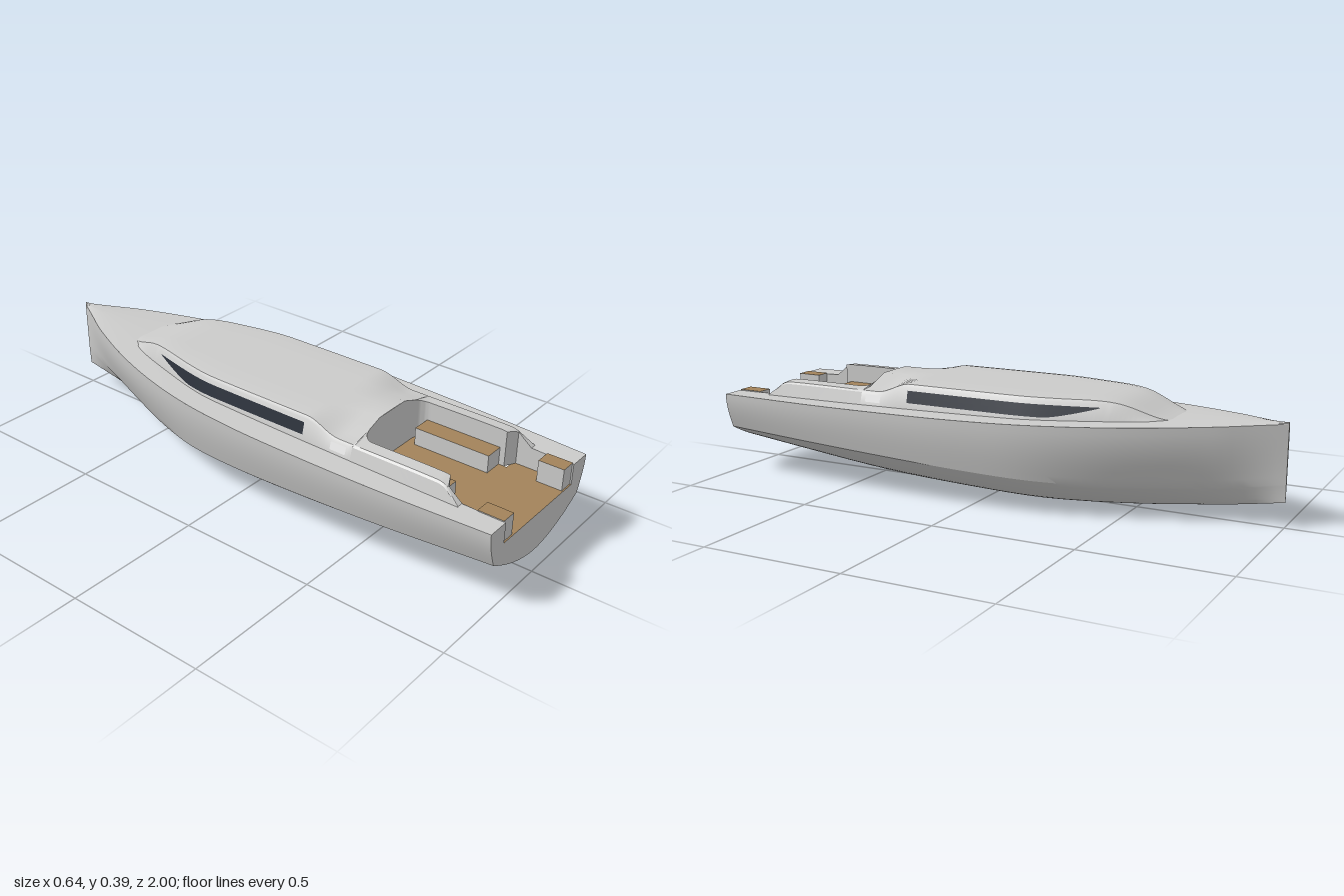
import * as THREE from 'three';
import { toCreasedNormals } from 'three/addons/utils/BufferGeometryUtils.js';

// Smooth curve through [z, value] pairs
function curve(p) {
  const slope = i => {
    const a = p[Math.max(i - 1, 0)], b = p[Math.min(i + 1, p.length - 1)];
    return (b[1] - a[1]) / (b[0] - a[0]);
  };
  return z => {
    let i = 0;
    while (i < p.length - 2 && z > p[i + 1][0]) i++;
    const d = p[i + 1][0] - p[i][0], t = THREE.MathUtils.clamp((z - p[i][0]) / d, 0, 1);
    const t2 = t * t, t3 = t2 * t;
    return (2 * t3 - 3 * t2 + 1) * p[i][1] + (t3 - 2 * t2 + t) * d * slope(i)
      + (3 * t2 - 2 * t3) * p[i + 1][1] + (t3 - t2) * d * slope(i + 1);
  };
}

const range = (a, b, n) => Array.from({ length: n + 1 }, (_, i) => a + (b - a) * i / n);

// Skin over cross-sections that all have the same number of [x, y, z] points
function loft(sections, crease = 0.5) {
  const n = sections[0].length, idx = [];
  for (let i = 0; i < sections.length - 1; i++) {
    for (let j = 0; j < n - 1; j++) {
      const a = i * n + j, b = a + n;
      idx.push(a, b, a + 1, a + 1, b, b + 1);
    }
  }
  const g = new THREE.BufferGeometry();
  g.setAttribute('position', new THREE.Float32BufferAttribute(sections.flat(2), 3));
  g.setIndex(idx);
  return toCreasedNormals(g, crease);
}

// Full-width section from a half that runs from the +x edge to the centreline
const mirrored = half => [...half, ...half.slice(0, -1).reverse().map(([x, y, z]) => [-x, y, z])];

// Hull lines
const sheerX = curve([[-1, 0.004], [-0.9, 0.06], [-0.8, 0.115], [-0.6, 0.2], [-0.4, 0.262], [-0.2, 0.301],
  [0, 0.317], [0.2, 0.32], [0.6, 0.311], [1, 0.287]]);
const sheerY = curve([[-1, 0.338], [-0.5, 0.319], [0, 0.305], [0.5, 0.297], [1, 0.293]]);
const chineX = curve([[-1, 0.003], [-0.8, 0.062], [-0.6, 0.135], [-0.4, 0.208], [-0.2, 0.264], [0, 0.286],
  [0.3, 0.291], [0.6, 0.283], [1, 0.255]]);
const chineY = curve([[-1, 0.145], [-0.8, 0.122], [-0.4, 0.113], [0, 0.128], [0.5, 0.149], [1, 0.166]]);
const keelY = curve([[-1, 0.083], [-0.8, 0.05], [-0.5, 0.014], [-0.2, 0], [0, 0.003], [0.4, 0.02], [0.8, 0.06], [1, 0.084]]);
const fullness = curve([[-1, 1.1], [-0.6, 1.5], [-0.2, 2], [1, 1.8]]);

function hullSection(z) {
  const sx = sheerX(z), sy = sheerY(z), cx = chineX(z), cy = chineY(z), k = keelY(z);
  const side = range(1, 0, 8).map(t => [cx + (sx - cx) * Math.sin(t * Math.PI / 2), cy + (sy - cy) * t, z]);
  const bottom = range(1, 0, 12).slice(1).map(t => [cx * t, k + (cy - k) * t ** fullness(z), z]);
  return mirrored([...side, ...bottom]);
}

// Cabin lines
const FLOOR = 0.22, AFT = 0.45;
const cabinW = curve([[-0.655, 0.085], [-0.64, 0.108], [-0.6, 0.128], [-0.4, 0.182], [-0.2, 0.224], [-0.05, 0.23], [AFT, 0.23]]);
const roofY = curve([[-0.655, 0.326], [-0.6, 0.34], [-0.5, 0.375], [-0.43, 0.385], [-0.3, 0.386], [AFT, 0.386]]);
const baseY = z => sheerY(z) - 0.004;

function cabinHalf(z) {
  const w = cabinW(z), h = roofY(z), b = baseY(z), k = THREE.MathUtils.smoothstep(z, 0.26, 0.39);
  const fore = [[w, b], [w - 0.018, Math.max(h - 0.012, b)], [w - 0.026, h - 0.003], [w - 0.05, h], [w * 0.4, h], [0, h]];
  const aft = [[0.23, b], [0.215, 0.34], [0.208, 0.346], [0.165, 0.35], [0.07, 0.385], [0, 0.386]];
  return fore.map(([x, y], i) => [x + (aft[i][0] - x) * k, y + (aft[i][1] - y) * k, z]);
}

// Cockpit edge: rounded forward corners, wider at the stern
function innerX(z) {
  if (z < 0.49) return 0.125 + 0.04 * Math.sqrt(Math.max(0, 1 - ((0.49 - z) / 0.04) ** 2));
  return 0.165 + 0.04 * THREE.MathUtils.clamp((z - 0.78) / 0.02, 0, 1);
}
const coamingY = curve([[AFT, 0.35], [0.76, 0.35], [0.79, 0.344], [0.82, 0.32], [0.85, 0.296]]);
const aftRoofY = x => Math.min(0.385, 0.35 + Math.max(0, 0.165 - x) / 0.095 * 0.035);
const edgeY = z => z > 0.85 ? sheerY(z) : z < 0.49 ? aftRoofY(innerX(z)) : coamingY(z);

export function createModel() {
  const group = new THREE.Group();
  const mat = (name, color) => {
    const m = new THREE.MeshStandardMaterial({ color, side: THREE.DoubleSide });
    m.name = name;
    return m;
  };
  const shell = mat('light grey shell', 0xcbcbca);
  const teak = mat('teak', 0xa2835a);
  const glass = mat('dark glass', 0x2a303a);
  const white = mat('white', 0xfafafa);
  const add = (name, geo, material) => {
    const m = new THREE.Mesh(geo, material);
    m.name = name;
    group.add(m);
    return m;
  };

  // Hull skin, stem face and transom with its cockpit opening
  add('hull', loft(range(-1, 1, 64).map(hullSection)), shell);
  const cap = (name, z, extra) => {
    const pts = [...hullSection(z), ...extra].map(([x, y]) => new THREE.Vector2(x, y));
    add(name, new THREE.ShapeGeometry(new THREE.Shape(pts)).translate(0, 0, z), shell);
  };
  cap('stem', -1, []);
  cap('transom', 1, [[-0.205, 0.293], [-0.205, FLOOR], [0.205, FLOOR], [0.205, 0.293]]);

  // Foredeck with a slight crown, and side decks beside the cockpit
  add('foredeck', loft(range(-1, AFT, 44).map(z => range(1, -1, 12).map(u =>
    [sheerX(z) * u, sheerY(z) + 0.006 * (1 - u * u) * Math.min(1, AFT - z), z]))), shell);
  for (const s of [1, -1]) {
    add('sideDeck', loft(range(AFT, 1, 16).map(z => [[s * sheerX(z), sheerY(z), z], [s * 0.205, sheerY(z), z]])), shell);
  }

  // Cabin trunk
  add('cabin', loft([-0.655, -0.65, ...range(-0.64, AFT, 72)].map(z => mirrored(cabinHalf(z))), 0.6), shell);

  // Coamings along the cockpit
  const coamingZ = [...range(AFT, 0.49, 8), ...range(0.5, 0.76, 4), ...range(0.77, 0.85, 8)];
  for (const s of [1, -1]) {
    add('coaming', loft(coamingZ.map(z => {
      const h = coamingY(z), b = baseY(z), f = Math.max(0, (h - b) / (0.35 - b));
      return [[0.23, b], [0.23 - 0.015 * f, b + (h - b) * 0.82], [0.23 - 0.022 * f, h - 0.004 * f],
        [innerX(z), z < 0.49 ? edgeY(z) : h]].map(([x, y]) => [s * x, y, z]);
    })), shell);
  }

  // Cockpit walls running round from one side to the other
  const wallZ = [1, 0.9, ...coamingZ.slice().reverse()];
  const wall = [
    ...wallZ.map(z => [innerX(z), edgeY(z), z]),
    ...[0.1, 0.07, 0].map(x => [x, aftRoofY(x), AFT])
  ];
  add('cockpitWall', loft(mirrored(wall).map(p => [p, [p[0], FLOOR, p[2]]])), shell);

  // Cockpit floor
  const floor = (w, z0, z1) => add('cockpitFloor',
    new THREE.PlaneGeometry(w, z1 - z0).rotateX(-Math.PI / 2).translate(0, FLOOR, (z0 + z1) / 2), teak);
  floor(0.33, AFT, 0.79);
  floor(0.41, 0.79, 1);

  // Benches and stern lockers with teak tops
  const locker = (name, x0, x1, h, z0, z1) => {
    for (const s of [1, -1]) {
      const geo = new THREE.BoxGeometry(x1 - x0, h, z1 - z0);
      add(name, geo, [shell, shell, teak, shell, shell, shell])
        .position.set(s * (x0 + x1) / 2, FLOOR + h / 2, (z0 + z1) / 2);
    }
  };
  locker('bench', 0.095, 0.165, 0.063, 0.48, 0.76);
  locker('sternLocker', 0.152, 0.208, 0.077, 0.905, 0.995);

  // Thin panels that follow the cabin side
  const panel = (name, z0, z1, low, high, material) => {
    for (const s of [1, -1]) {
      add(name, loft(range(z0, z1, 24).map(z => {
        const [a, b] = cabinHalf(z);
        return range(low(z), high, 2).map(y =>
          [s * (a[0] + (b[0] - a[0]) * (y - a[1]) / (b[1] - a[1]) + 0.003), y, z]);
      })), material);
    }
  };
  panel('sideWindow', -0.43, 0.26, z => 0.322 + 0.039 * Math.max(0, (-0.25 - z) / 0.18) ** 1.3, 0.363, glass);
  panel('sideVent', 0.37, 0.43, () => 0.31, 0.335, white);

  return group;
}
